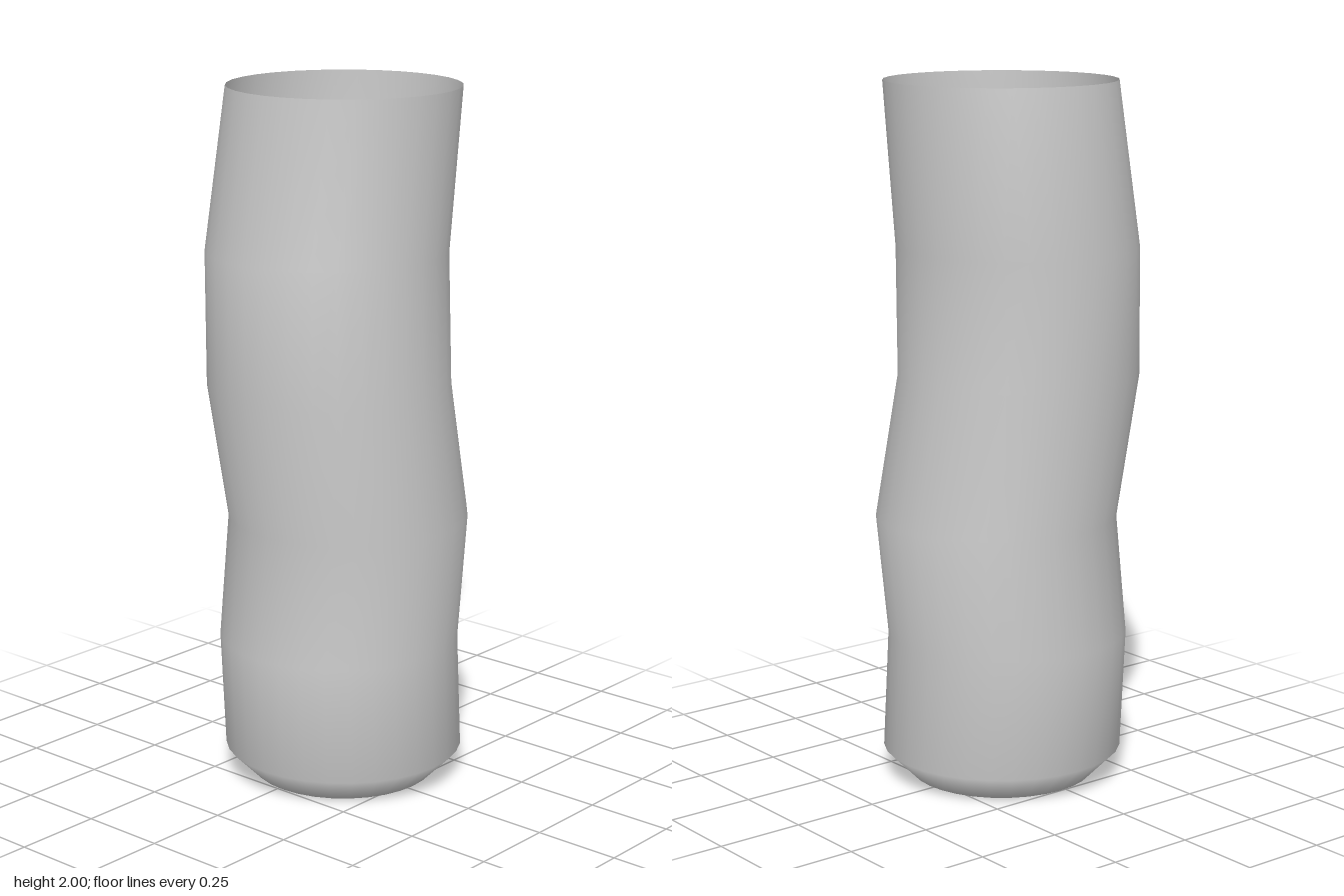
import * as THREE from 'three';

const SIDES = 32;

// Cross-sections from bottom to top: [y, centre x, centre z, radius]
const RINGS = [
  [0, 0.016, -0.02, 0.265],
  [0.08, 0.016, -0.02, 0.344],
  [0.42, 0.016, 0, 0.344],
  [0.77, 0.016, -0.04, 0.344],
  [1.17, 0.016, 0.042, 0.344],
  [1.54, -0.02, 0.01, 0.342],
  [2, 0.016, -0.021, 0.328],
];

// Smooth skin through the rings, closed by a fan at the bottom, open at the top
function createTubeGeometry() {
  const positions = [];
  const index = [];
  for (const [y, cx, cz, r] of RINGS) {
    for (let i = 0; i < SIDES; i++) {
      const a = (i / SIDES) * Math.PI * 2;
      positions.push(cx + r * Math.cos(a), y, cz + r * Math.sin(a));
    }
  }
  const centre = positions.length / 3;
  positions.push(RINGS[0][1], RINGS[0][0], RINGS[0][2]);

  for (let i = 0; i < SIDES; i++) {
    const next = (i + 1) % SIDES;
    index.push(centre, i, next);
    for (let row = 0; row < RINGS.length - 1; row++) {
      const low = row * SIDES;
      const high = low + SIDES;
      index.push(low + i, high + i, low + next);
      index.push(low + next, high + i, high + next);
    }
  }

  const geometry = new THREE.BufferGeometry();
  geometry.setAttribute('position', new THREE.Float32BufferAttribute(positions, 3));
  geometry.setIndex(index);
  geometry.computeVertexNormals();
  return geometry;
}

export function createModel() {
  const group = new THREE.Group();
  group.name = 'bentTubeVessel';

  // Thin-walled vessel with wavy sides and a chamfered base
  const material = new THREE.MeshStandardMaterial({ color: 0xcccccc, side: THREE.DoubleSide });
  const vessel = new THREE.Mesh(createTubeGeometry(), material);
  vessel.name = 'vesselWall';
  group.add(vessel);

  return group;
}
